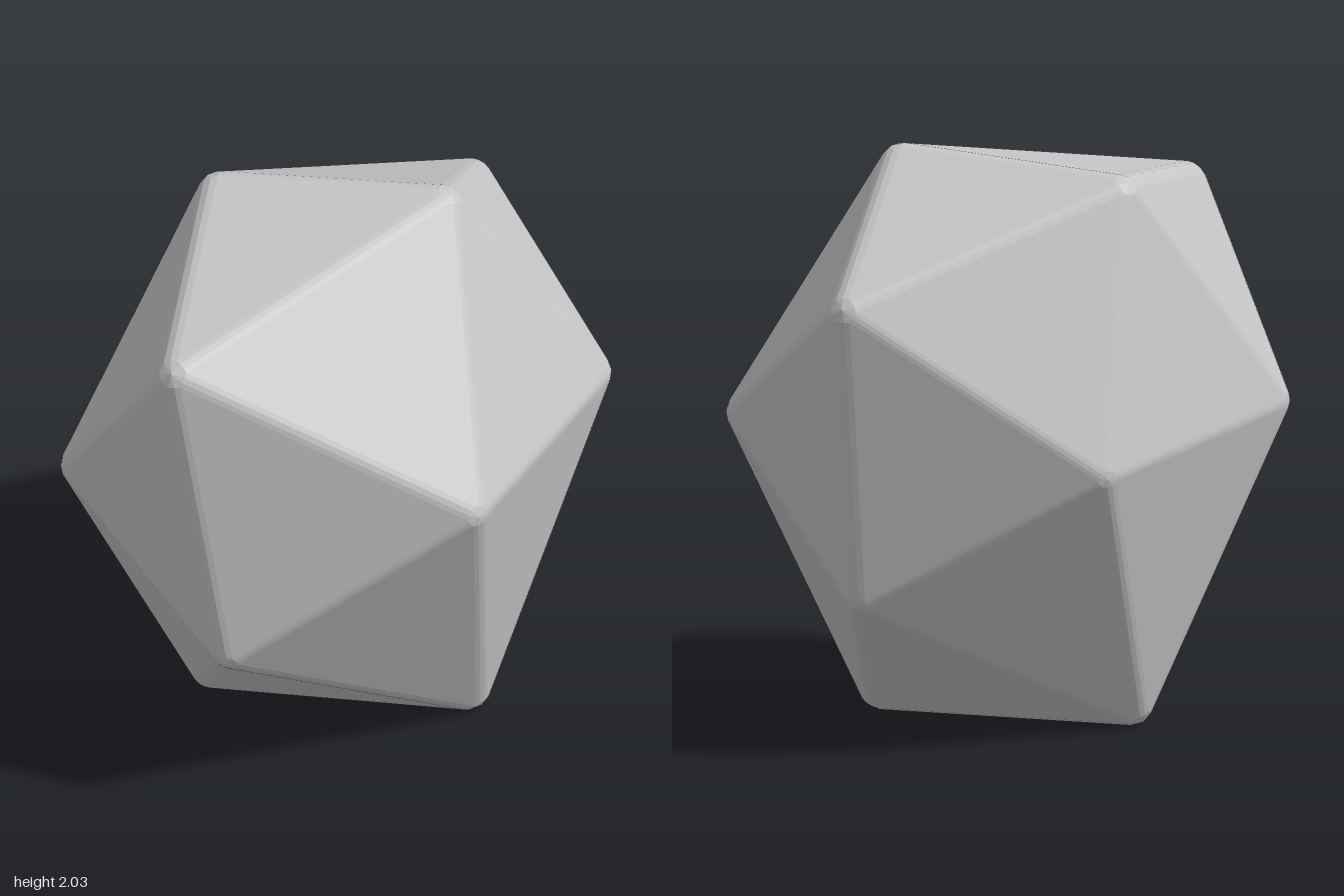
import * as THREE from 'three';
import { ConvexGeometry } from 'three/addons/geometries/ConvexGeometry.js';

const RADIUS = 0.075; // rounding of edges and corners

// Twelve corners of the irregular twenty-sided stone
const CORNERS = [
  [0.27, 2.0, 0.23], [-0.1, 1.94, -0.53], [-0.88, 1.765, -0.06], [0.88, 1.61, -0.15],
  [-0.24, 1.18, 0.76], [0.77, 1.11, 0.52], [0.22, 1.01, -0.76], [-0.78, 1.07, -0.62],
  [-0.84, 0.62, 0.14], [0.76, 0.54, -0.1], [0.18, 0.0, 0.43], [-0.29, 0.0, -0.41],
].map((p) => new THREE.Vector3(...p));

// Triangles of the hull as corner indices with their normals
function hullFaces(points) {
  const pos = new ConvexGeometry(points).attributes.position;
  const faces = [];
  for (let i = 0; i < pos.count; i += 3) {
    const v = [0, 1, 2].map((k) => new THREE.Vector3().fromBufferAttribute(pos, i + k));
    const ids = v.map((p) => points.findIndex((q) => q.distanceTo(p) < 1e-4));
    const normal = v[1].clone().sub(v[0]).cross(v[2].clone().sub(v[0])).normalize();
    faces.push({ ids, normal });
  }
  return faces;
}

// Average direction of the faces around each corner
function cornerNormal(faces, i) {
  const n = new THREE.Vector3();
  faces.filter((f) => f.ids.includes(i)).forEach((f) => n.add(f.normal));
  return n.normalize();
}

export function createModel() {
  const group = new THREE.Group();
  group.name = 'facetedStone';
  const stoneGrey = new THREE.MeshStandardMaterial({ color: 0xc6c6c6 });
  stoneGrey.name = 'stoneGrey';

  // Pull the corners inwards, then grow them back as small faceted caps
  const outer = hullFaces(CORNERS);
  const inner = CORNERS.map((p, i) => p.clone().addScaledVector(cornerNormal(outer, i), -RADIUS));
  const faces = hullFaces(inner);
  const points = [];
  inner.forEach((p, i) => {
    const grow = (dir) => points.push(p.clone().addScaledVector(dir, RADIUS));
    const around = faces.filter((f) => f.ids.includes(i));
    grow(cornerNormal(faces, i));
    around.forEach((a, k) => {
      grow(a.normal);
      // Two steps across every edge meeting at this corner
      for (const b of around.slice(k + 1)) {
        if (a.ids.filter((id) => b.ids.includes(id)).length < 2) continue;
        for (const t of [1 / 3, 2 / 3]) grow(a.normal.clone().lerp(b.normal, t).normalize());
      }
    });
  });

  // Flat-faced rounded hull, centred and standing on the ground
  const geometry = new ConvexGeometry(points);
  geometry.computeBoundingBox();
  const box = geometry.boundingBox;
  const centre = box.getCenter(new THREE.Vector3());
  geometry.translate(-centre.x, -box.min.y, -centre.z);

  const stone = new THREE.Mesh(geometry, stoneGrey);
  stone.name = 'stone';
  group.add(stone);
  return group;
}
